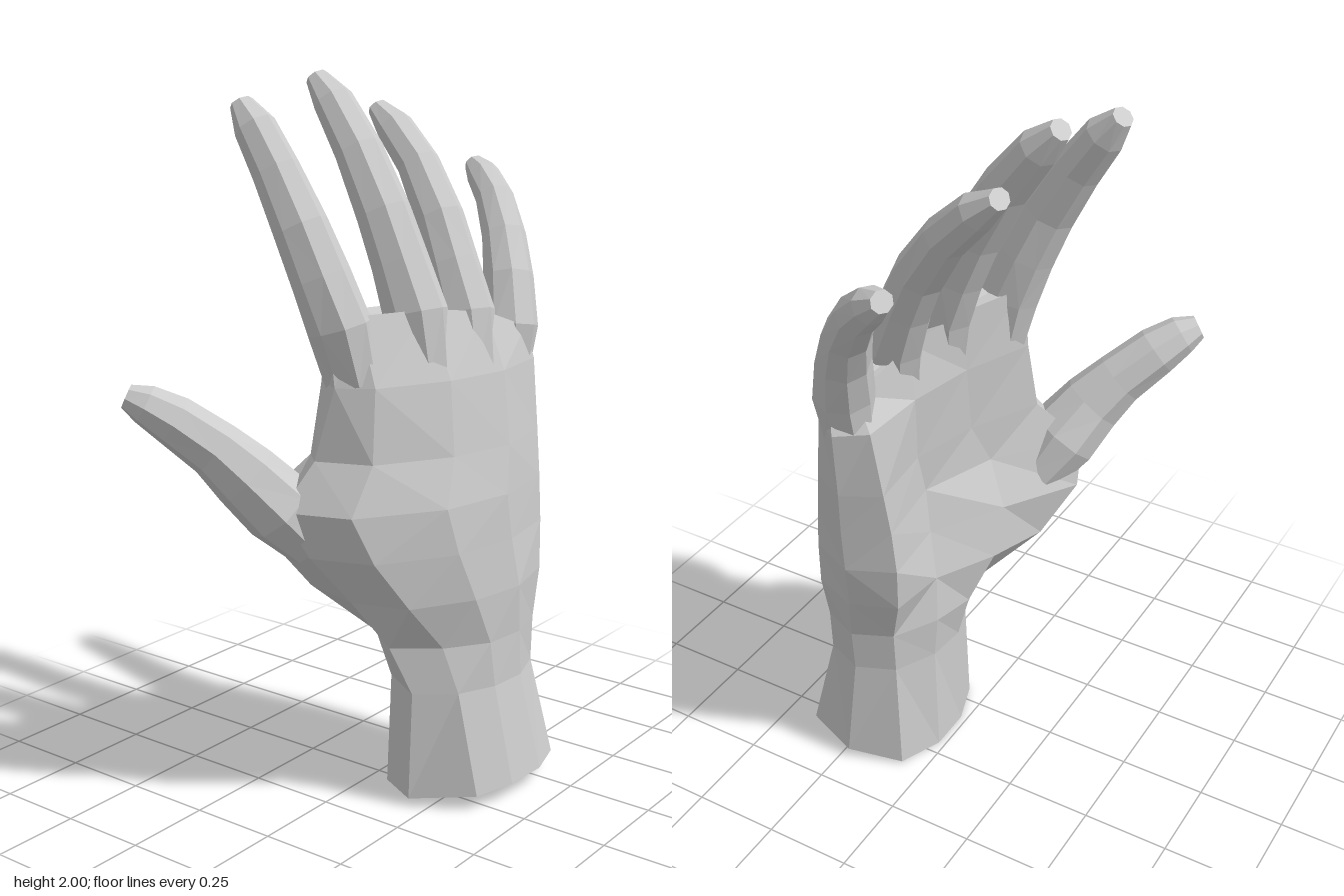
import * as THREE from 'three';

const material = new THREE.MeshStandardMaterial({
  color: 0xcccccc, flatShading: true, side: THREE.DoubleSide,
});

// Skin a list of equal-length rings (counter-clockwise about the path); the start stays open.
function loft(name, rings) {
  const pos = [];
  const tri = (...pts) => pts.forEach((p) => pos.push(p.x, p.y, p.z));
  const n = rings[0].length;
  for (let r = 0; r < rings.length - 1; r++) {
    const a = rings[r], b = rings[r + 1];
    for (let i = 0; i < n; i++) {
      const j = (i + 1) % n;
      // split each quad along its shorter diagonal
      if (a[i].distanceTo(b[j]) < a[j].distanceTo(b[i])) {
        tri(a[i], a[j], b[j]);
        tri(a[i], b[j], b[i]);
      } else {
        tri(a[i], a[j], b[i]);
        tri(a[j], b[j], b[i]);
      }
    }
  }
  const end = rings[rings.length - 1];
  const c = end.reduce((s, p) => s.add(p), new THREE.Vector3()).divideScalar(n);
  end.forEach((p, i) => tri(c, p, end[(i + 1) % n]));
  const geo = new THREE.BufferGeometry();
  geo.setAttribute('position', new THREE.Float32BufferAttribute(pos, 3));
  geo.computeVertexNormals();
  const mesh = new THREE.Mesh(geo, material);
  mesh.name = name;
  return mesh;
}

// Tapered digit: stations are [x, y, z, half width, half depth], across is the width direction.
function digit(name, stations, across) {
  const sides = 8;
  const centre = stations.map((s) => new THREE.Vector3(s[0], s[1], s[2]));
  const last = centre.length - 1;
  const rings = stations.map(([, , , w, d], k) => {
    const t = centre[Math.min(k + 1, last)].clone().sub(centre[Math.max(k - 1, 0)]).normalize();
    const u = across.clone().addScaledVector(t, -across.dot(t)).normalize();
    const v = t.clone().cross(u);
    return Array.from({ length: sides }, (_, i) => {
      const a = (i / sides) * Math.PI * 2;
      return centre[k].clone()
        .addScaledVector(u, Math.cos(a) * w)
        .addScaledVector(v, Math.sin(a) * d);
    });
  });
  return loft(name, rings);
}

// Wrist and palm: [y, thumb edge x, thumb edge z, little finger edge z, back x values, palm x values],
// x values run from the thumb edge to the little finger edge.
const palmSections = [
  [0.025, 0.20, 0.13, -0.39, [0.37, 0.41, 0.42, 0.38], [0.06, 0.02, 0.02, 0.07]],
  [0.33, 0.20, 0.115, -0.355, [0.30, 0.35, 0.36, 0.32], [0.07, 0.03, 0.04, 0.10]],
  [0.46, 0.14, 0.14, -0.365, [0.26, 0.34, 0.355, 0.32], [0.03, 0.00, 0.03, 0.10]],
  [0.60, 0.07, 0.22, -0.395, [0.23, 0.33, 0.36, 0.32], [-0.11, -0.05, 0.04, 0.06]],
  [0.74, 0.01, 0.32, -0.42, [0.18, 0.31, 0.345, 0.31], [-0.18, -0.05, 0.07, 0.05]],
  [0.87, -0.05, 0.37, -0.43, [0.14, 0.29, 0.335, 0.30], [-0.17, 0.01, 0.09, 0.06]],
  [1.00, 0.00, 0.285, -0.44, [0.15, 0.27, 0.315, 0.28], [-0.06, 0.04, 0.09, 0.07]],
  [1.20, 0.05, 0.26, -0.46, [0.14, 0.24, 0.28, 0.25], [-0.04, 0.04, 0.08, 0.09]],
  [1.385, 0.02, 0.25, -0.44, [0.08, 0.16, 0.22, 0.23], [-0.03, 0.04, 0.10, 0.14]],
];

function palmRing([y, thumbX, zThumb, zLittle, back, palm], level) {
  const spread = level < 3 ? [0.17, 0.4, 0.65, 0.9] : [0.08, 0.36, 0.64, 0.92];
  const at = (x, f) => {
    const z = zThumb + (zLittle - zThumb) * f;
    let h = y;
    if (level === 0) h = 0.05 * (x - 0.02) / 0.4;                       // slanted wrist cut
    if (level === palmSections.length - 1) h += Math.min(0, (z + 0.12) * 0.35); // falling web line
    return new THREE.Vector3(x, h, z);
  };
  return [
    at(thumbX, 0),
    ...spread.map((f, i) => at(back[i], f)),
    at((back[3] + palm[3]) / 2, 1),
    ...spread.map((f, i) => at(palm[i], f)).reverse(),
  ];
}

// Centre lines of the four fingers, from the knuckle in the palm to the fingertip.
const fingers = {
  indexFinger: [
    [0.05, 1.2, 0.185, 0.06, 0.08], [0.025, 1.35, 0.205, 0.083, 0.09], [-0.025, 1.48, 0.22, 0.083, 0.08],
    [-0.08, 1.61, 0.235, 0.075, 0.075], [-0.16, 1.75, 0.235, 0.064, 0.066],
    [-0.235, 1.86, 0.23, 0.058, 0.057], [-0.285, 1.92, 0.225, 0.036, 0.03],
  ],
  middleFinger: [
    [0.14, 1.2, 0, 0.06, 0.09], [0.115, 1.37, -0.01, 0.085, 0.092], [0.06, 1.5, -0.015, 0.08, 0.08],
    [0, 1.63, -0.02, 0.076, 0.075], [-0.095, 1.79, -0.035, 0.07, 0.065],
    [-0.195, 1.92, -0.05, 0.06, 0.054], [-0.255, 1.98, -0.055, 0.037, 0.03],
  ],
  ringFinger: [
    [0.18, 1.19, -0.165, 0.06, 0.09], [0.155, 1.35, -0.188, 0.08, 0.088], [0.1, 1.48, -0.205, 0.073, 0.075],
    [0.04, 1.6, -0.228, 0.068, 0.07], [-0.06, 1.74, -0.265, 0.062, 0.06],
    [-0.16, 1.84, -0.285, 0.057, 0.052], [-0.225, 1.89, -0.295, 0.036, 0.028],
  ],
  littleFinger: [
    [0.175, 1.14, -0.37, 0.06, 0.07], [0.178, 1.29, -0.385, 0.083, 0.082], [0.145, 1.42, -0.425, 0.074, 0.072],
    [0.095, 1.53, -0.475, 0.065, 0.063], [0.025, 1.63, -0.53, 0.057, 0.055],
    [-0.04, 1.69, -0.565, 0.05, 0.048], [-0.085, 1.72, -0.585, 0.032, 0.028],
  ],
};

export function createModel() {
  const hand = new THREE.Group();
  hand.name = 'hand';
  hand.add(loft('palmAndWrist', palmSections.map(palmRing)));

  // Fingers spread along z and curl towards -x
  for (const [name, stations] of Object.entries(fingers)) {
    hand.add(digit(name, stations, new THREE.Vector3(0, 0, 1)));
  }

  // Thumb growing out of the fleshy side of the palm
  hand.add(digit('thumb', [
    [-0.05, 0.76, 0.24, 0.09, 0.08], [-0.1, 0.86, 0.31, 0.115, 0.105], [-0.16, 0.955, 0.38, 0.093, 0.095],
    [-0.22, 1.03, 0.43, 0.08, 0.08], [-0.3, 1.11, 0.5, 0.077, 0.07],
    [-0.355, 1.155, 0.55, 0.062, 0.055], [-0.393, 1.177, 0.58, 0.038, 0.034],
  ], new THREE.Vector3(1, 0, 1)));
  return hand;
}
